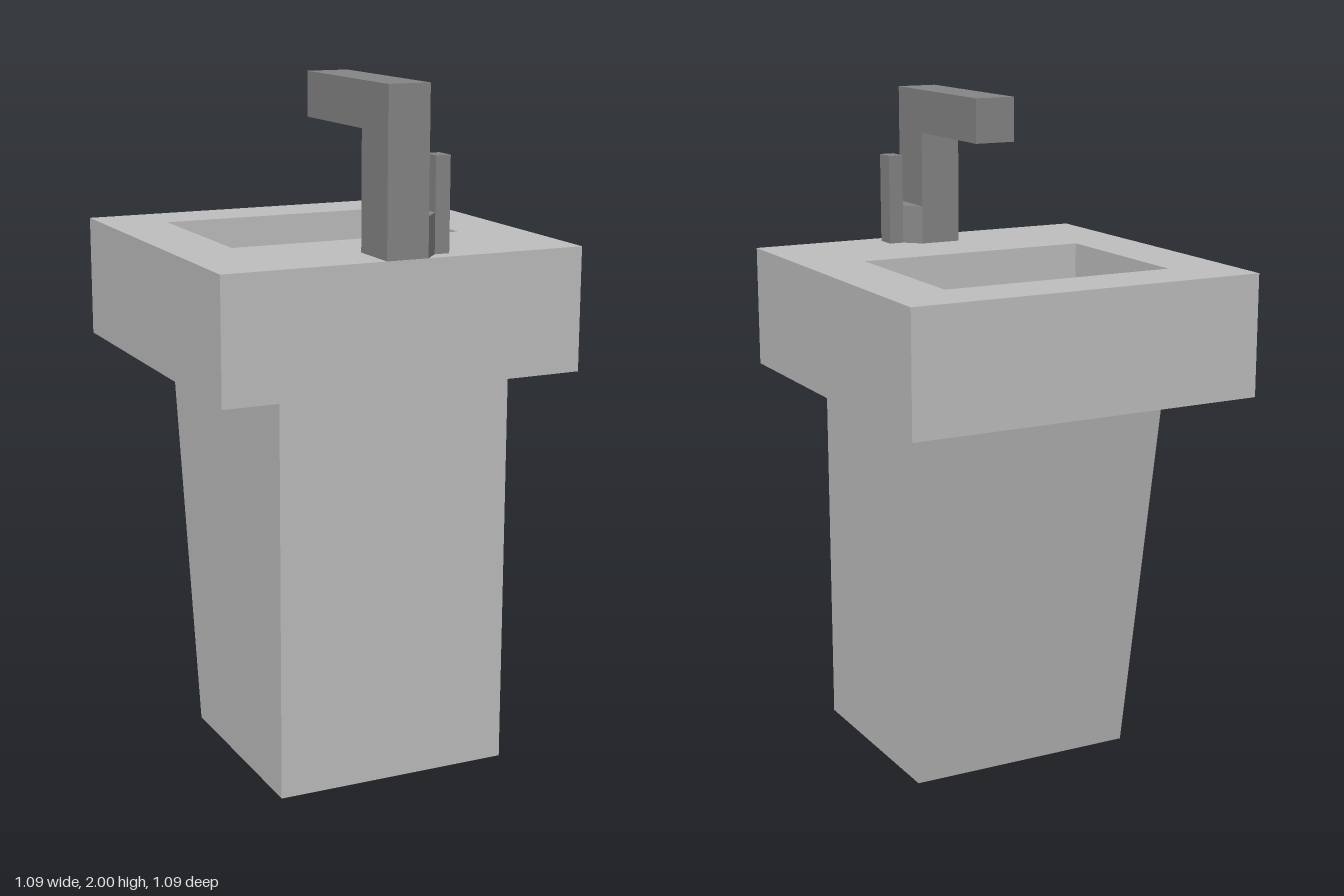
import * as THREE from 'three';

const porcelain = new THREE.MeshStandardMaterial({ color: 0xc0c0c0 });
porcelain.name = 'light grey porcelain';
const metal = new THREE.MeshStandardMaterial({ color: 0x868686 });
metal.name = 'dark grey metal';

const toPoints = (pairs) => pairs.map(([a, b]) => new THREE.Vector2(a, b));
const rect = (x0, x1, z0, z1) => [[x0, z0], [x1, z0], [x1, z1], [x0, z1]];

// Prism from an (x, z) outline, between heights y0 and y1
function planPrism(outline, y0, y1, hole) {
  const shape = new THREE.Shape(toPoints(outline));
  if (hole) shape.holes.push(new THREE.Path(toPoints(hole)));
  return new THREE.ExtrudeGeometry(shape, { depth: y1 - y0, bevelEnabled: false })
    .rotateX(Math.PI / 2).translate(0, y1, 0);
}

// Prism from a (z, y) side profile, between x0 and x1
function sidePrism(profile, x0, x1) {
  const shape = new THREE.Shape(toPoints(profile));
  return new THREE.ExtrudeGeometry(shape, { depth: x1 - x0, bevelEnabled: false })
    .rotateY(-Math.PI / 2).translate(x1, 0, 0);
}

export function createModel() {
  const model = new THREE.Group();
  model.name = 'washbasin';
  const add = (parent, name, geometry, material) => {
    const mesh = new THREE.Mesh(geometry, material);
    mesh.name = name;
    parent.add(mesh);
  };

  // Pedestal with one sloping side
  add(model, 'pedestal', sidePrism([[0.485, 0], [0.485, 1.17], [-0.355, 1.17], [-0.15, 0]], -0.355, 0.35), porcelain);

  // Square basin: solid floor slab below, open rim above
  const basin = new THREE.Group();
  basin.name = 'basin';
  const outer = rect(-0.545, 0.545, -0.545, 0.545);
  const floorY = 1.35;
  add(basin, 'basinFloor', planPrism(outer, 1.17, floorY), porcelain);
  add(basin, 'basinRim', planPrism(outer, floorY, 1.53, rect(-0.36, 0.355, -0.36, 0.165)), porcelain);
  add(basin, 'drain', new THREE.CylinderGeometry(0.056, 0.056, 0.004, 32).translate(-0.015, floorY + 0.002, -0.15), metal);
  model.add(basin);

  // Angular tap with side lever
  const tap = new THREE.Group();
  tap.name = 'tap';
  add(tap, 'spout', sidePrism([[0.545, 1.53], [0.545, 2], [0.025, 2], [0.025, 1.87], [0.385, 1.87], [0.385, 1.53]], -0.065, 0.06), metal);
  add(tap, 'leverBase', planPrism([[0.06, 0.385], [0.105, 0.43], [0.105, 0.495], [0.06, 0.545]], 1.53, 1.645), metal);
  add(tap, 'lever', planPrism(rect(0.105, 0.15, 0.43, 0.495), 1.53, 1.8), metal);
  model.add(tap);

  return model;
}
